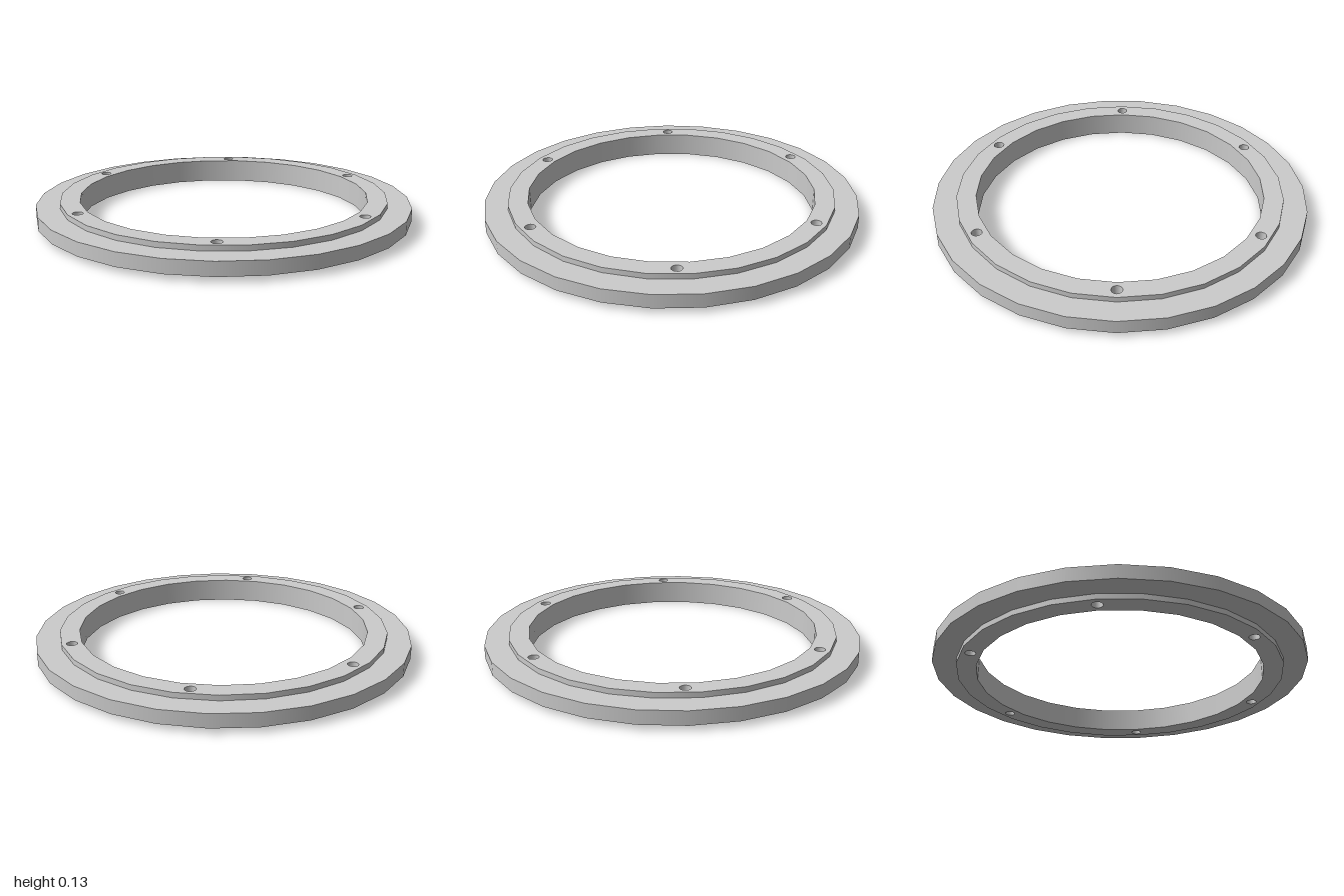
import * as THREE from 'three';
import { mergeGeometries } from 'three/addons/utils/BufferGeometryUtils.js';

// Heights: collar bottom, flange bottom, flange top, collar top
const Y0 = 0, Y1 = 0.028, Y2 = 0.1, Y3 = 0.128;
// Each outline is a regular polygon with a corner on +x
const OUTER = { r: 1.0017, n: 27 };
const STEP = { r: 0.876, n: 26 };
const INNER = { r: 0.772, n: 26 };
const HOLE = { r: 0.028, n: 14 };
const HOLE_CIRCLE = 0.823, HOLE_COUNT = 6;

const holeCentres = Array.from({ length: HOLE_COUNT }, (_, i) => {
  const a = (i / HOLE_COUNT) * Math.PI * 2;
  return [HOLE_CIRCLE * Math.cos(a), HOLE_CIRCLE * Math.sin(a)];
});

function outline({ r, n }, cx = 0, cy = 0) {
  return Array.from({ length: n }, (_, i) => {
    const a = (i / n) * Math.PI * 2;
    return new THREE.Vector2(cx + r * Math.cos(a), cy + r * Math.sin(a));
  });
}

// Flat face with cut-outs, facing up or down
function face(outer, cutouts, y, up) {
  const shape = new THREE.Shape(outline(outer));
  shape.holes = cutouts.map((points) => new THREE.Path(points));
  const g = new THREE.ShapeGeometry(shape);
  g.rotateX(up ? -Math.PI / 2 : Math.PI / 2);
  return g.translate(0, y, 0);
}

// Smooth upright wall: rising profile faces outward, falling profile faces inward
function wall({ r, n }, from, to) {
  const profile = [new THREE.Vector2(r, from), new THREE.Vector2(r, to)];
  return new THREE.LatheGeometry(profile, n, Math.PI / 2);
}

export function createModel() {
  const group = new THREE.Group();
  group.name = 'mountingRing';
  const material = new THREE.MeshStandardMaterial({ color: 0xcccccc });

  const add = (name, parts) => {
    const mesh = new THREE.Mesh(mergeGeometries(parts), material);
    mesh.name = name;
    mesh.position.x = -0.0034; // the odd-sided rim sits slightly off its bounds
    group.add(mesh);
  };

  // Wide flange around the middle
  add('flange', [
    wall(OUTER, Y1, Y2),
    face(OUTER, [outline(STEP)], Y2, true),
    face(OUTER, [outline(STEP)], Y1, false),
  ]);

  // Raised collar on both sides, with the central bore
  const cutouts = [outline(INNER), ...holeCentres.map(([x, y]) => outline(HOLE, x, y))];
  add('collar', [
    wall(STEP, Y2, Y3),
    wall(STEP, Y0, Y1),
    wall(INNER, Y3, Y0),
    face(STEP, cutouts, Y3, true),
    face(STEP, cutouts, Y0, false),
  ]);

  // Walls of the through holes for bolts
  add('boltHoles', holeCentres.map(([x, z]) => wall(HOLE, Y3, Y0).translate(x, 0, z)));

  return group;
}
